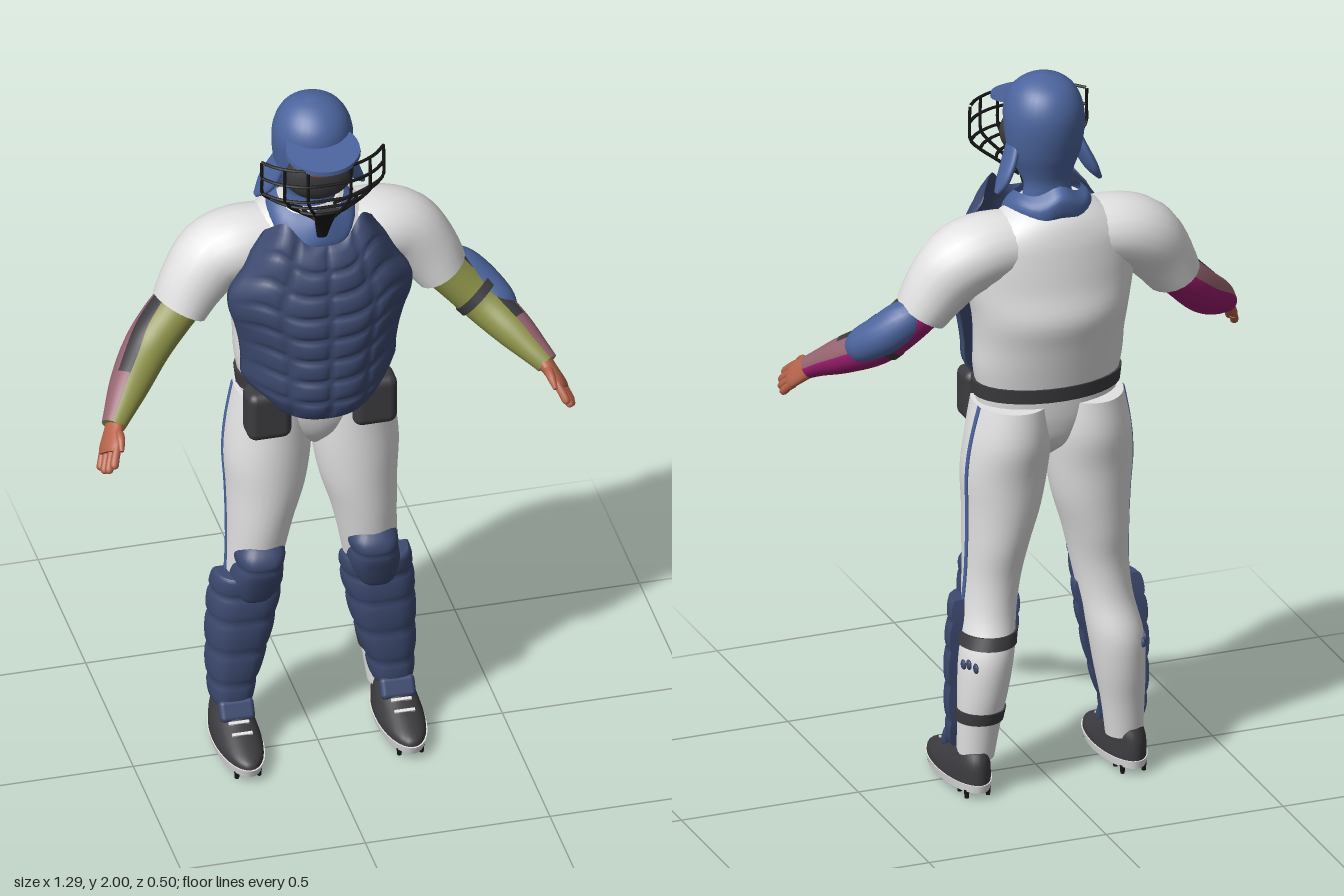
import * as THREE from 'three';
import { RoundedBoxGeometry } from 'three/addons/geometries/RoundedBoxGeometry.js';

const V = (x, y, z) => new THREE.Vector3(x, y, z);
const mat = (name, color) => Object.assign(new THREE.MeshStandardMaterial({ color }), { name });
const TAU = Math.PI * 2;

// Catmull-Rom through rows of numbers, sampled at u in 0..1
function sampleRow(rows, u) {
  const f = u * (rows.length - 1), i = Math.min(Math.floor(f), rows.length - 2), t = f - i;
  const at = (k) => rows[Math.max(0, Math.min(rows.length - 1, k))];
  const [a, b, c, d] = [at(i - 1), at(i), at(i + 1), at(i + 2)];
  return b.map((_, k) => 0.5 * (2 * b[k] + (c[k] - a[k]) * t + (2 * a[k] - 5 * b[k] + 4 * c[k] - d[k]) * t * t
    + (3 * b[k] - a[k] - 3 * c[k] + d[k]) * t * t * t));
}
const smooth = (rows, n) => Array.from({ length: n + 1 }, (_, i) => sampleRow(rows, i / n));

// Skin over closed rings; pick(i, j) chooses a material slot per face
function loft(rings, { caps = true, pick } = {}) {
  const n = rings[0].length, pos = [], slots = [[], [], [], []];
  rings.forEach((r) => r.forEach((p) => pos.push(p.x, p.y, p.z)));
  for (let i = 0; i < rings.length - 1; i++) for (let j = 0; j < n; j++) {
    const a = i * n + j, b = i * n + (j + 1) % n, c = a + n, d = b + n;
    slots[pick ? pick(i, j) : 0].push(a, c, b, b, c, d);
  }
  if (caps) [rings[0], rings[rings.length - 1]].forEach((r, top) => {
    const base = pos.length / 3, m = r.reduce((s, p) => s.add(p), V(0, 0, 0)).divideScalar(n);
    [...r, m].forEach((p) => pos.push(p.x, p.y, p.z));
    for (let j = 0; j < n; j++) {
      const a = base + j, b = base + (j + 1) % n;
      slots[0].push(base + n, top ? b : a, top ? a : b);
    }
  });
  const g = new THREE.BufferGeometry();
  g.setAttribute('position', new THREE.Float32BufferAttribute(pos, 3));
  g.setIndex(slots.flat());
  if (pick) {
    let start = 0;
    slots.forEach((s, k) => { g.addGroup(start, s.length, k); start += s.length; });
  }
  g.computeVertexNormals();
  return g;
}

// Rows of [y, centreX, radiusX, backZ, frontZ], listed upwards
const ring = ([y, cx, rx, z0, z1]) => Array.from({ length: 32 }, (_, j) => {
  const a = j / 32 * TAU;
  return V(cx + rx * Math.cos(a), y, (z0 + z1) / 2 + (z1 - z0) / 2 * Math.sin(a));
});
const column = (rows, n = 24, opt) => loft(smooth(rows, n).map(ring), opt);

// Rows of [x, y, z, radiusA, radiusB] swept along their path
function sweep(rows, { n = 16, m = 20, ref = V(0, 1, 0), ...opt } = {}) {
  const s = smooth(rows, n), p = s.map((r) => V(r[0], r[1], r[2]));
  return loft(s.map((r, i) => {
    const t = p[Math.min(n, i + 1)].clone().sub(p[Math.max(0, i - 1)]).normalize();
    const side = t.clone().cross(ref).normalize(), up = side.clone().cross(t);
    return Array.from({ length: m }, (_, j) => p[i].clone()
      .addScaledVector(side, r[3] * Math.cos(j / m * TAU)).addScaledVector(up, r[4] * Math.sin(j / m * TAU)));
  }), opt);
}

// Mirror across x and restore the corner order
function mirrored(g) {
  const m = g.clone().scale(-1, 1, 1);
  if (!m.index) m.setIndex(Array.from({ length: m.attributes.position.count }, (_, i) => i));
  const ix = m.index.array;
  for (let i = 0; i < ix.length; i += 3) [ix[i], ix[i + 1]] = [ix[i + 1], ix[i]];
  return m;
}

export function createModel() {
  const model = new THREE.Group();
  const white = mat('white cloth', 0xe2e2e2), blue = mat('helmet blue', 0x4c659e), navy = mat('pad navy', 0x3d4a70);
  const grey = mat('dark grey', 0x3c3c40), black = mat('cage black', 0x161616), olive = mat('sleeve olive', 0x8c9147);
  const magenta = mat('sleeve magenta', 0x9a1c6c), mauve = mat('sleeve mauve', 0x966470), skin = mat('skin', 0xb5634a);
  blue.side = THREE.DoubleSide;
  const add = (name, g, m) => {
    const mesh = new THREE.Mesh(g, m);
    mesh.name = name;
    model.add(mesh);
  };
  const pair = (name, g, m) => { add(name + 'Left', g, m); add(name + 'Right', mirrored(g), m); };

  // Jersey, hips and belt
  add('jersey', column([[1.12, 0, .19, -.195, .04], [1.2, 0, .205, -.215, .05], [1.28, 0, .207, -.235, .05], [1.36, 0, .215, -.255, .05],
    [1.44, 0, .232, -.24, .045], [1.52, 0, .235, -.23, .03], [1.58, 0, .215, -.22, .01], [1.63, 0, .15, -.2, -.01], [1.67, 0, .08, -.16, -.03]], 32), white);
  pair('shoulderSleeve', sweep([[.1, 1.55, -.1, .1, .09], [.19, 1.545, -.1, .11, .095], [.26, 1.515, -.1, .105, .098],
    [.315, 1.45, -.09, .092, .088], [.355, 1.385, -.08, .085, .073]]), white);
  add('hips', column([[.93, 0, .02, -.1, -.02], [.98, 0, .1, -.16, .02], [1.05, 0, .18, -.185, .04], [1.14, 0, .196, -.195, .045]]), white);
  add('belt', column([[1.12, 0, .203, -.205, .055], [1.16, 0, .207, -.21, .057]], 2), grey);
  pair('beltPouch', new RoundedBoxGeometry(.12, .145, .09, 3, .025).translate(.143, 1.083, .022), grey);

  // Trouser legs
  const legRows = [[.1, .21, .05, -.15, -.05], [.2, .203, .058, -.165, -.05], [.3, .193, .068, -.185, -.035], [.4, .182, .074, -.19, -.02],
    [.5, .165, .072, -.16, 0], [.6, .152, .077, -.155, .02], [.7, .14, .088, -.172, .035], [.8, .126, .104, -.184, .042],
    [.9, .12, .115, -.195, .045], [1, .112, .113, -.213, .045], [1.1, .105, .1, -.208, .045]];
  pair('trouserLeg', column(legRows, 44), white);
  const legAt = (y) => sampleRow(legRows, y - .1);
  const outside = (y, z) => {
    const [, cx, rx, a, b] = legAt(y);
    return cx + rx * Math.sqrt(Math.max(0, 1 - ((z - (a + b) / 2) / ((b - a) / 2)) ** 2));
  };
  pair('sideStripe', sweep(Array.from({ length: 9 }, (_, i) => {
    const y = .53 + i * .071, z = -.07 - i * .005;
    return [outside(y, z), y, z, .004, .009];
  }), { ref: V(0, 0, 1), m: 8 }), blue);
  for (const y of [.425, .21]) {
    add('calfStrap', column([y, y + .033].map((h) => {
      const [, cx, rx, a, b] = legAt(h);
      return [h, cx, rx + .005, a - .005, b + .005];
    }), 2), grey);
  }
  [-.13, -.15, -.168].forEach((z, i) => pair('calfPatch',
    new THREE.SphereGeometry(1, 12, 8).scale(.006, .014, .014).translate(outside(.38, z), .378 + (i % 2) * .006, z), navy));

  // Shin and knee guards: bulging front, flat back
  const guard = (rows, bands, n = 40) => loft(smooth(rows, n).map(([y, cx, rx, zb, zf], i) => {
    const puff = .006 * Math.abs(Math.sin(i / n * Math.PI * bands)) ** .5;
    return Array.from({ length: 28 }, (_, j) => {
      const c = Math.cos(j / 28 * TAU), s = Math.sin(j / 28 * TAU);
      return V(cx + (rx + puff) * Math.sign(c) * Math.abs(c) ** .7, y, s > 0 ? zb + (zf + puff - zb) * s ** .75 : zb);
    });
  }));
  pair('shinGuard', guard([[.13, .218, .05, -.085, -.015], [.2, .213, .062, -.095, -.01], [.3, .2, .078, -.095, -.005],
    [.4, .188, .088, -.095, 0], [.48, .178, .092, -.092, 0], [.54, .172, .088, -.08, .005]], 5), navy);
  pair('kneeGuard', guard([[.47, .165, .045, -.05, .012], [.53, .16, .062, -.05, .032], [.585, .155, .062, -.045, .05],
    [.62, .152, .06, -.04, .042], [.648, .15, .04, -.02, .02]], 2, 24), navy);
  pair('ankleFlap', new RoundedBoxGeometry(.095, .06, .035, 2, .014).rotateX(-.5).translate(.218, .125, -.01), navy);

  // Shoes with pale soles, laces and studs
  pair('shoe', column([[.04, .22, .063, -.172, .157], [.06, .22, .062, -.172, .145], [.085, .22, .056, -.17, .085],
    [.105, .218, .05, -.165, .03], [.125, .215, .045, -.155, -.01]]), grey);
  pair('shoeSole', column([[.02, .22, .061, -.172, .155], [.042, .22, .066, -.176, .162]], 3), white);
  for (const [z, y] of [[.06, .094], [.025, .107]]) {
    pair('lace', new THREE.BoxGeometry(.055, .006, .009).rotateX(.35).translate(.22, y, z), white);
  }
  for (const z of [-.14, -.09, .02, .07, .12]) for (const x of [-.03, .03]) {
    pair('stud', new THREE.CylinderGeometry(.008, .006, .024, 8).translate(.22 + x, .012, z), black);
  }

  // Quilted chest protector
  const half = [[.175], [.205], [.208], [.215], [.228], [.245], [.245], [.21], [.18], [.145]];
  const front = [[.125], [.142], [.145], [.145], [.145], [.145], [.14], [.132], [.12], [.095]];
  const N = 56, M = 40;
  add('chestProtector', loft(Array.from({ length: N + 1 }, (_, i) => {
    const v = i / N, hw = sampleRow(half, v)[0], zf = sampleRow(front, v)[0];
    const thick = .05 * Math.min(1, 8 * Math.min(v, 1 - v)) ** .6;
    const point = (s, inner) => {
      const q = Math.abs(s), low = 1.1 + .035 * q ** 4;
      const high = 1.625 + .06 * Math.exp(-(((q - .72) / .26) ** 2));
      const puff = .013 * Math.abs(Math.sin(v * 8 * Math.PI) * Math.sin((s + 1) * 2 * Math.PI)) ** .4;
      return V(hw * s, low + v * (high - low), zf - (.14 - .05 * v) * q ** 2.4 + (inner ? -thick * (1 - .5 * q) : puff * (1 - q ** 6)));
    };
    return [...Array.from({ length: M + 1 }, (_, j) => point(1 - 2 * j / M, false)),
      ...Array.from({ length: M + 1 }, (_, j) => point(-1 + 2 * j / M, true))];
  }), { caps: false }), navy);

  // Arms: olive inside, grey and mauve on top, magenta behind
  const arm = sweep([[.32, 1.43, -.085, .07, .06], [.39, 1.36, -.07, .07, .06], [.455, 1.295, -.035, .064, .058],
    [.52, 1.24, .04, .054, .05], [.565, 1.2, .1, .04, .036], [.588, 1.178, .13, .032, .03]], {
    n: 24, m: 36,
    pick: (i, j) => (j < 8 || j >= 29 ? 0 : j >= 17 ? 1 : j < 12 && i < 14 ? 3 : 2),
  });
  pair('arm', arm, [olive, magenta, mauve, grey]);

  // Hands
  const across = V(.42, -.56, -.71);
  pair('palm', sweep([[.573, 1.19, .112, .026, .026], [.59, 1.17, .14, .02, .034], [.608, 1.145, .175, .018, .042], [.616, 1.133, .19, .014, .038]],
    { ref: across }), skin);
  for (let f = 0; f < 4; f++) {
    const k = -.032 + f * .021, len = [.85, 1, .95, .75][f];
    const p = V(.608, 1.142, .178).addScaledVector(across, k), d = V(.024, -.034, .05).multiplyScalar(len);
    pair('finger', sweep([0, .5, .9, 1].map((t) => [p.x + d.x * t, p.y + d.y * t - .012 * t * t, p.z + d.z * t, t === 1 ? .004 : .011, t === 1 ? .004 : .011]),
      { ref: across, n: 8, m: 10 }), skin);
  }
  pair('thumb', sweep([[.583, 1.18, .15, .013, .013], [.583, 1.175, .19, .012, .012], [.588, 1.155, .22, .006, .006]], { n: 8, m: 10 }), skin);

  // Elbow guard and strap on one arm
  add('elbowGuard', sweep([[.375, 1.4, -.1, .04, .04], [.41, 1.37, -.09, .056, .054], [.455, 1.325, -.062, .06, .056],
    [.495, 1.285, -.02, .052, .05], [.515, 1.268, .005, .034, .034]]), blue);
  add('elbowStrap', sweep([[.432, 1.318, -.048, .069, .064], [.448, 1.302, -.038, .069, .064]], { n: 3, m: 28 }), grey);

  // Helmet with hood, side flaps, brim and collar
  add('helmet', column([[1.63, 0, .075, -.14, -.02], [1.7, 0, .064, -.13, -.035], [1.74, 0, .078, -.138, 0], [1.79, 0, .098, -.155, .03],
    [1.85, 0, .106, -.168, .045], [1.9, 0, .106, -.17, .055], [1.94, 0, .095, -.158, .045], [1.97, 0, .075, -.135, .02],
    [1.99, 0, .046, -.1, -.012], [2, 0, .012, -.065, -.045]], 40), blue);
  pair('helmetFlap', sweep([[.085, 1.82, -.06, .035, .014], [.103, 1.77, -.072, .042, .016], [.125, 1.725, -.085, .034, .015], [.146, 1.692, -.09, .01, .006]],
    { ref: V(1, 0, 0) }), blue);
  const brim = column([[0, 0, .1, -.09, .1], [.012, 0, .098, -.09, .098]], 2);
  add('brim', brim.rotateX(.16).translate(0, 1.897, .048), blue);
  const collar = column([[1.6, 0, .1, -.19, .045], [1.625, 0, .118, -.2, .045], [1.66, 0, .108, -.2, .03], [1.69, 0, .088, -.17, .005]], 12, { caps: false });
  const cp = collar.attributes.position;
  for (let i = 0; i < cp.count; i++) cp.setY(i, cp.getY(i) - .2 * (cp.getZ(i) + .08) + .012 * Math.cos(cp.getX(i) * 50));
  collar.computeVertexNormals();
  add('collar', collar, blue);

  // Face behind the cage
  add('facePadding', new THREE.SphereGeometry(1, 28, 18).scale(.092, .078, .05).translate(0, 1.812, .022), grey);
  add('face', new THREE.SphereGeometry(1, 24, 14).scale(.06, .03, .042).translate(0, 1.842, .035), skin);

  // Wire face cage
  const bar = (name, pts) => add(name, new THREE.TubeGeometry(new THREE.CatmullRomCurve3(pts), 20, .0045, 6), black);
  const levels = [[1.888, .165, .125], [1.84, .165, .128], [1.79, .163, .125], [1.765, .14, .118], [1.735, .1, .105], [1.695, .045, .078]];
  const cage = ([y, w, z], s) => V(w * s, y, z - .075 * Math.abs(s) ** 3);
  levels.forEach((l) => bar('cageBar', [-1, -.8, -.4, 0, .4, .8, 1].map((s) => cage(l, s))));
  for (const s of [-1, -.7, -.35, .35, .7, 1]) bar('cageUpright', levels.map((l) => cage(l, s)));
  add('throatGuard', sweep([[0, 1.625, .045, .014, .006], [0, 1.68, .065, .024, .008], [0, 1.74, .1, .034, .008]], { ref: V(0, 0, 1) }), black);
  return model;
}
